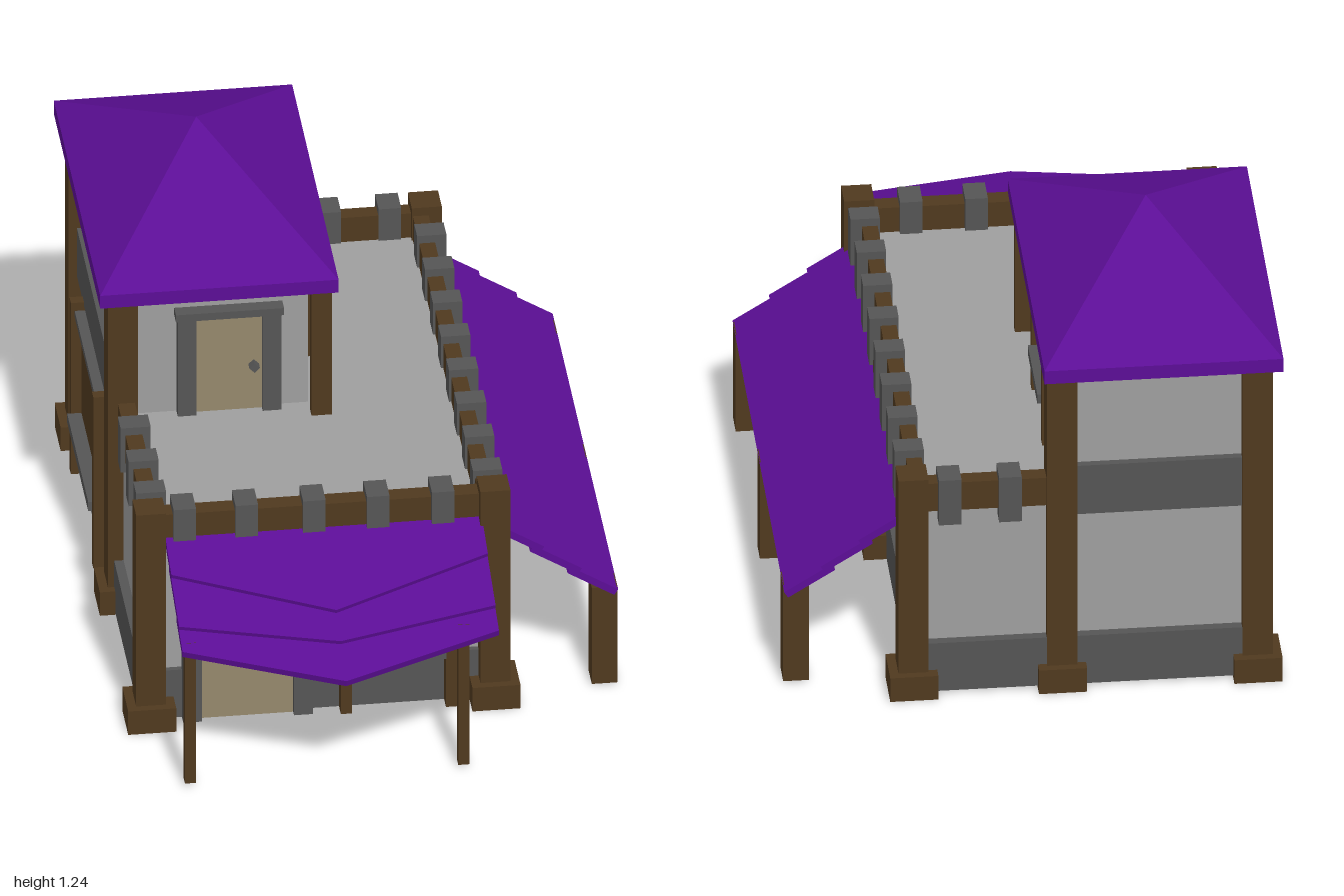
import * as THREE from 'three';

const mat = (name, color) => {
  const m = new THREE.MeshStandardMaterial({ color });
  m.name = name;
  return m;
};

export function createModel() {
  const wood = mat('brown wood', 0x50391f);
  const stone = mat('dark stone', 0x555555);
  const plaster = mat('light plaster', 0x9e9e9e);
  const purple = mat('purple roofing', 0x5c0e96);
  const beige = mat('beige door', 0x95886c);

  const model = new THREE.Group();
  model.name = 'building';

  const add = (parent, name, geo, material) => {
    const mesh = new THREE.Mesh(geo, material);
    mesh.name = name;
    parent.add(mesh);
    return mesh;
  };
  // Box given by its limits on each axis
  const box = (name, material, x0, x1, y0, y1, z0, z1, parent = model) => {
    const mesh = add(parent, name, new THREE.BoxGeometry(x1 - x0, y1 - y0, z1 - z0), material);
    mesh.position.set((x0 + x1) / 2, (y0 + y1) / 2, (z0 + z1) / 2);
    return mesh;
  };
  const group = (name, x, y, z, turn = 0) => {
    const g = new THREE.Group();
    g.name = name;
    g.position.set(x, y, z);
    g.rotation.y = turn;
    model.add(g);
    return g;
  };

  // Ground floor, stone plinth and deck
  box('groundFloorWalls', plaster, -0.6, 0.3, 0.02, 0.57, -0.93, 0.475);
  box('stonePlinth', stone, -0.625, 0.315, 0.007, 0.155, -0.955, 0.49);

  // Tower with a stone band on its outer sides
  box('towerWalls', plaster, -0.6, -0.1, 0.57, 0.975, -0.93, -0.13);
  box('towerBandBack', stone, -0.6, -0.085, 0.53, 0.68, -0.95, -0.92);
  box('towerBandLeft', stone, -0.62, -0.59, 0.53, 0.68, -0.93, -0.13);

  // Timber posts on square feet: x, z, top
  const posts = [
    [0.315, 0.488, 0.67], [-0.602, 0.488, 0.67], [0.312, -0.925, 0.67],
    [-0.602, -0.925, 0.97], [-0.083, -0.925, 0.97], [-0.602, -0.105, 0.97],
  ];
  for (const [x, z, top] of posts) {
    box('timberPost', wood, x - 0.04, x + 0.04, 0, top, z - 0.04, z + 0.04);
    box('postFoot', wood, x - 0.064, x + 0.064, 0, 0.073, z - 0.062, z + 0.062);
  }
  box('rightMiddlePost', wood, 0.28, 0.34, 0, 0.56, -0.245, -0.175);
  box('rightMiddleFoot', wood, 0.25, 0.375, 0, 0.073, -0.272, -0.148);
  box('towerFrontPost', wood, -0.1, -0.045, 0.57, 0.97, -0.088, -0.06);

  // Parapet beams
  box('frontBeam', wood, -0.565, 0.28, 0.57, 0.645, 0.445, 0.495);
  box('rightBeam', wood, 0.275, 0.317, 0.56, 0.645, -0.89, 0.45);
  box('backBeam', wood, -0.045, 0.275, 0.56, 0.645, -0.945, -0.9);
  box('leftBeam', wood, -0.615, -0.57, 0.56, 0.645, -0.07, 0.45);

  // Merlon blocks straddling the beams
  const merlon = (x, z, wx, wz, low) =>
    box('merlon', stone, x - wx / 2, x + wx / 2, low, 0.668, z - wz / 2, z + wz / 2);
  for (const x of [-0.51, -0.345, -0.165, 0.005, 0.178]) merlon(x, 0.471, 0.06, 0.08, 0.57);
  for (let i = 0; i < 8; i++) merlon(0.308, -0.78 + i * 0.167, 0.078, 0.06, 0.525);
  for (const x of [0.055, 0.215]) merlon(x, -0.932, 0.06, 0.076, 0.53);
  for (const z of [0.063, 0.23, 0.387]) merlon(-0.588, z, 0.08, 0.06, 0.53);

  // Hipped tower roof
  box('roofEaves', purple, -0.667, -0.032, 0.97, 1.01, -1, -0.028);
  let cone = new THREE.ConeGeometry(Math.SQRT1_2, 0.23, 4, 1, true);
  cone.rotateY(Math.PI / 4).scale(0.635, 1, 0.972);
  cone = cone.toNonIndexed();
  cone.computeVertexNormals();
  add(model, 'towerRoof', cone, purple).position.set(-0.3495, 1.125, -0.514);

  // Door with stone frame and diamond knob; width is the leaf, outward is local +z
  const door = (x, y, z, w, h, jamb) => {
    const g = group('door', x, y, z);
    box('doorLeaf', beige, -w / 2, w / 2, 0, h, -0.01, 0.012, g);
    for (const s of [-1, 1]) {
      const c = s * (w + jamb) / 2;
      box('doorJamb', stone, c - jamb / 2, c + jamb / 2, 0, h, -0.01, 0.03, g);
    }
    box('doorLintel', stone, -w / 2 - jamb - 0.006, w / 2 + jamb + 0.006, h, h + 0.022, -0.01, 0.038, g);
    const knob = box('doorKnob', stone, -0.01, 0.01, -0.01, 0.01, 0, 0.03, g);
    knob.position.set(w / 2 - 0.022, h * 0.46, 0.02);
    knob.rotation.z = Math.PI / 4;
  };
  door(-0.343, 0.007, 0.49, 0.245, 0.342, 0.05);
  door(-0.313, 0.57, -0.13, 0.176, 0.3, 0.05);

  // Shuttered window between two slim posts; heights are relative to the group
  const shutterWindow = (x, y, z, turn, w, sill, top, postTop) => {
    const g = group('window', x, y, z, turn);
    for (const s of [-1, 1]) {
      const c = s * (w / 2 + 0.015);
      box('windowPost', wood, c - 0.015, c + 0.015, 0, postTop, -0.01, 0.04, g);
      const m = s * w / 4;
      box('shutter', wood, m - w / 4 + 0.004, m + w / 4 - 0.004, sill, top, -0.01, 0.012, g);
    }
    box('shutterBacking', wood, -w / 2, w / 2, sill, top, -0.01, 0.006, g);
    box('windowSill', stone, -w / 2, w / 2, sill - 0.028, sill, -0.01, 0.05, g);
    box('windowLintel', stone, -w / 2, w / 2, top, top + 0.02, -0.01, 0.03, g);
  };
  shutterWindow(0.058, 0.007, 0.49, 0, 0.25, 0.185, 0.38, 0.54);
  shutterWindow(-0.1, 0.57, -0.507, Math.PI / 2, 0.25, 0.14, 0.342, 0.4);
  shutterWindow(-0.615, 0.007, -0.515, -Math.PI / 2, 0.44, 0.19, 0.49, 0.535);

  // Front awning: three overlapping pointed slats on slim poles
  const tilt = 0.29, run = Math.cos(tilt), hinge = 0.49;
  const front = group('frontAwning', 0, 0.575, hinge);
  front.rotation.x = Math.PI / 2 + tilt;
  // back edge z, front edge z at the sides and at the middle point
  [[0.49, 0.49, 0.62, 0.775], [0.58, 0.7, 0.785, 0.87], [0.74, 0.82, 0.86, 0.995]]
    .forEach(([backSide, backMid, side, mid], i) => {
      const pts = [[-0.56, backSide], [-0.14, backMid], [0.283, backSide],
        [0.283, side], [-0.14, mid], [-0.56, side]];
      const shape = new THREE.Shape(pts.map(([x, z]) => new THREE.Vector2(x, (z - hinge) / run)));
      const geo = new THREE.ExtrudeGeometry(shape, { depth: 0.02, bevelEnabled: false });
      add(front, 'awningSlat', geo, purple).position.z = i * 0.012;
    });
  for (const x of [-0.535, 0.193]) box('awningPole', wood, x - 0.015, x + 0.015, 0.012, 0.45, 0.8, 0.826);

  // Side awning: three straight overlapping slats on square posts
  const sideAwning = group('sideAwning', 0.32, 0.535, 0);
  sideAwning.rotation.z = -0.56;
  [[0, 0.156], [0.13, 0.281], [0.255, 0.402]].forEach(([a, b], i) =>
    box('awningSlat', purple, a, b, -0.02 - i * 0.011, -i * 0.011, -0.898, 0.474, sideAwning));
  for (const z of [0.43, -0.212, -0.83]) box('awningPost', wood, 0.58, 0.648, 0.005, 0.305, z - 0.033, z + 0.033);

  return model;
}
